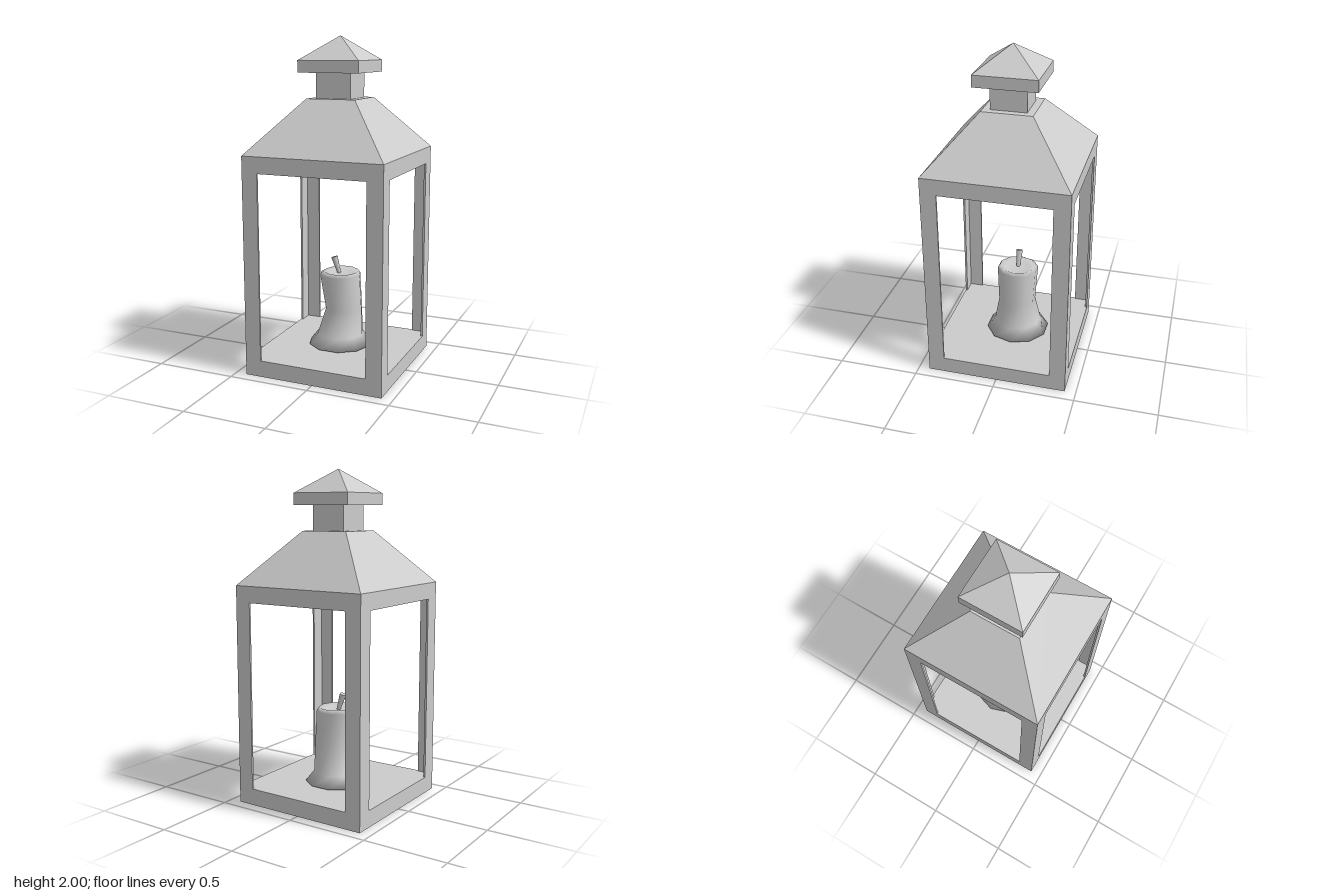
import * as THREE from 'three';

const material = new THREE.MeshStandardMaterial({ color: 0xcccccc });
const flatMaterial = new THREE.MeshStandardMaterial({ color: 0xcccccc, flatShading: true });

function add(parent, name, geometry, mat = flatMaterial) {
  const mesh = new THREE.Mesh(geometry, mat);
  mesh.name = name;
  parent.add(mesh);
  return mesh;
}

// Square block or tapered square frustum between two heights
function squareBlock(parent, name, y0, y1, half0, half1 = half0) {
  const geometry = new THREE.CylinderGeometry(half1 * Math.SQRT2, half0 * Math.SQRT2, y1 - y0, 4);
  geometry.rotateY(Math.PI / 4).translate(0, (y0 + y1) / 2, 0);
  return add(parent, name, geometry);
}

// Smooth closed skin through rings of [y, xMin, xMax, zMin, zMax]
function loft(rings, sides) {
  const positions = [], index = [];
  for (const [y, x0, x1, z0, z1] of rings) {
    for (let j = 0; j < sides; j++) {
      const a = (j / sides) * Math.PI * 2;
      positions.push((x0 + x1 + (x1 - x0) * Math.cos(a)) / 2, y, (z0 + z1 + (z1 - z0) * Math.sin(a)) / 2);
    }
  }
  for (let i = 0; i < rings.length - 1; i++) {
    for (let j = 0; j < sides; j++) {
      const a = i * sides + j, b = i * sides + (j + 1) % sides;
      index.push(a, a + sides, b, b, a + sides, b + sides);
    }
  }
  const geometry = new THREE.BufferGeometry();
  geometry.setAttribute('position', new THREE.Float32BufferAttribute(positions, 3));
  geometry.setIndex(index);
  geometry.computeVertexNormals();
  return geometry;
}

export function createModel() {
  const lantern = new THREE.Group();
  lantern.name = 'lantern';
  const half = 0.432, band = 0.098, wall = 0.012;

  // Base and the band under the roof
  squareBlock(lantern, 'base', 0, 0.1, half);
  squareBlock(lantern, 'topBand', 1.227, 1.325, half);

  // Thin angle-section corner posts
  const inner = half - band;
  const section = new THREE.Shape([
    [half, half], [inner, half], [inner, half - wall],
    [half - wall, half - wall], [half - wall, inner], [half, inner],
  ].map(([x, y]) => new THREE.Vector2(x, y)));
  const postGeometry = new THREE.ExtrudeGeometry(section, { depth: 1.127, bevelEnabled: false });
  postGeometry.rotateX(-Math.PI / 2).translate(0, 0.1, 0);
  for (let i = 0; i < 4; i++) {
    add(lantern, 'cornerPost', postGeometry).rotation.y = i * Math.PI / 2;
  }

  // Roof, chimney and its cap
  squareBlock(lantern, 'roof', 1.325, 1.64, half, 0.152);
  squareBlock(lantern, 'chimney', 1.64, 1.79, 0.108);
  squareBlock(lantern, 'capRim', 1.79, 1.86, 0.189);
  squareBlock(lantern, 'capPeak', 1.86, 2, 0.189, 0);

  // Melted, slightly leaning candle with a dished top
  const candle = new THREE.Group();
  candle.name = 'candle';
  lantern.add(candle);
  add(candle, 'wax', loft([
    [0.11, -0.012, -0.012, -0.027, -0.027],
    [0.11, -0.21, 0.185, -0.225, 0.17],
    [0.175, -0.158, 0.132, -0.173, 0.12],
    [0.34, -0.103, 0.128, -0.145, 0.086],
    [0.555, -0.14, 0.115, -0.155, 0.1],
    [0.575, -0.108, 0.1, -0.138, 0.085],
    [0.56, -0.08, 0.07, -0.105, 0.055],
    [0.56, -0.012, -0.012, -0.027, -0.027],
  ], 10), material);

  // Bent wick, wider at its burnt end
  const wick = add(candle, 'wick', new THREE.CylinderGeometry(0.021, 0.012, 0.11, 8), material);
  wick.position.set(-0.035, 0.606, -0.027);
  wick.rotation.z = 0.32;

  return lantern;
}
